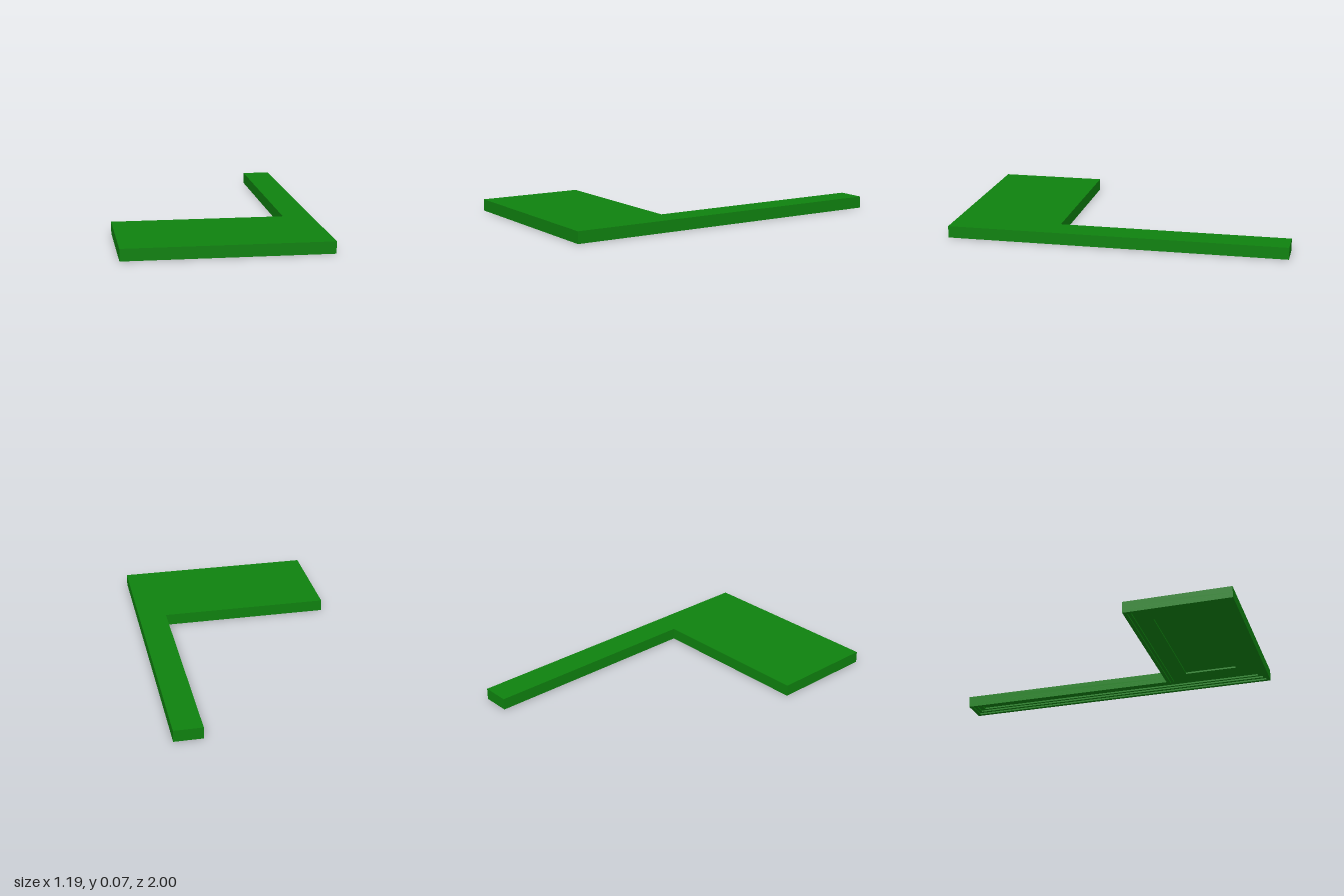
import * as THREE from 'three';

const material = new THREE.MeshStandardMaterial({ color: 0x0f820f });

// L-shaped outline in plan (x, -z), moved inwards by d
function outline(d, PathType = THREE.Shape) {
  const corners = [
    [-0.595 + d, -1 + d], [0.595 - d, -1 + d], [0.595 - d, 1 - d],
    [0.425 + d, 1 - d], [0.425 + d, -0.36 - d], [-0.595 + d, -0.36 - d],
  ];
  return new PathType(corners.map(([x, y]) => new THREE.Vector2(x, y)));
}

// Rectangular opening between two x and two z positions
function rectangle(x0, x1, z0, z1) {
  const corners = [[x0, -z0], [x0, -z1], [x1, -z1], [x1, -z0]];
  return new THREE.Path(corners.map(([x, y]) => new THREE.Vector2(x, y)));
}

// Horizontal layer with openings, from y0 up to y1
function layer(name, y0, y1, holes) {
  const shape = outline(0);
  shape.holes.push(...holes);
  const geometry = new THREE.ExtrudeGeometry(shape, { depth: y1 - y0, bevelEnabled: false });
  geometry.rotateX(-Math.PI / 2).translate(0, y0, 0);
  const mesh = new THREE.Mesh(geometry, material);
  mesh.name = name;
  return mesh;
}

export function createModel() {
  const model = new THREE.Group();
  model.name = 'lShapedPanel';

  // Solid top over a stepped, hollowed underside
  model.add(layer('topPlate', 0.03, 0.07, []));

  // Sunken panels under the wide slab and the long arm
  model.add(layer('sunkenPanels', 0.02, 0.03, [
    rectangle(-0.43, 0.38, 0.5, 0.82),
    rectangle(0.48, 0.54, -0.93, 0.93),
  ]));

  // Two steps of the edge rim
  model.add(layer('innerRim', 0.01, 0.02, [outline(0.04, THREE.Path)]));
  model.add(layer('outerRim', 0, 0.01, [outline(0.022, THREE.Path)]));

  return model;
}
